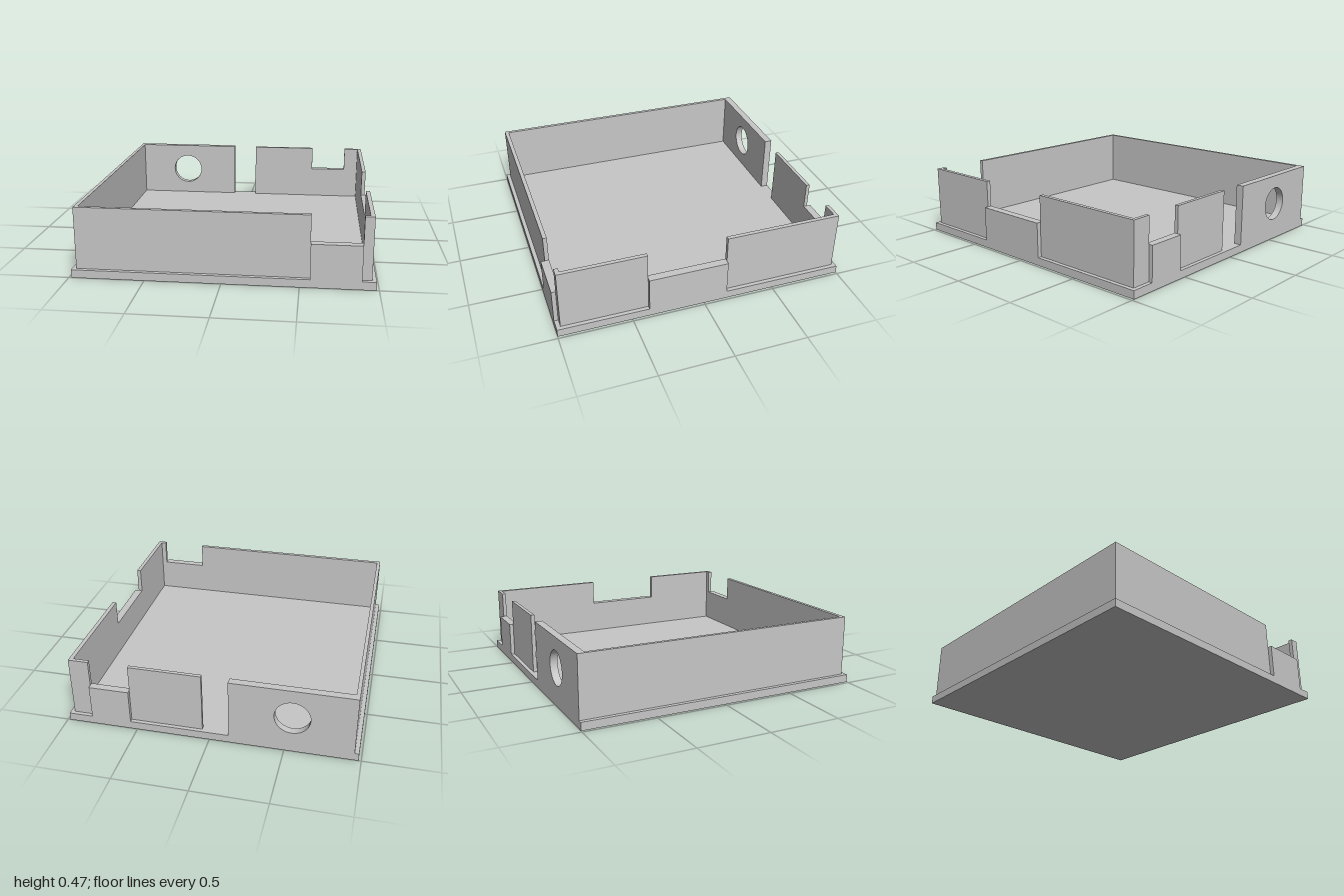
import * as THREE from 'three';

const FLOOR = 0.055, LOW = 0.292, TALL = 0.473;

export function createModel() {
  const model = new THREE.Group();
  model.name = 'openTray';
  const grey = new THREE.MeshStandardMaterial({ color: 0xc7c7c7 });
  grey.name = 'light grey';

  const add = (name, geometry) => {
    const mesh = new THREE.Mesh(geometry, grey);
    mesh.name = name;
    model.add(mesh);
    return mesh;
  };
  // Block between two corners
  const block = (name, x0, x1, y0, y1, z0, z1) =>
    add(name, new THREE.BoxGeometry(x1 - x0, y1 - y0, z1 - z0))
      .position.set((x0 + x1) / 2, (y0 + y1) / 2, (z0 + z1) / 2);

  block('basePlate', -0.983, 0.983, 0, FLOOR, -1, 1);

  // Walls standing on the base: name, x range, z range, top height
  const walls = [
    ['rightHandWall', -0.955, -0.93, -0.948, 0.972, TALL],
    ['frontWall', -0.93, 0.565, 0.944, 0.972, TALL],
    ['frontSill', 0.565, 0.892, 0.944, 1, LOW],
    ['frontCorner', 0.892, 0.927, 0.944, 0.972, TALL],
    ['sideWallFront', 0.927, 0.955, 0.383, 0.972, TALL],
    ['sideSill', 0.927, 0.983, -0.163, 0.383, LOW],
    ['sideWallBack', 0.927, 0.955, -0.973, -0.163, TALL],
    ['backCorner', 0.818, 0.927, -0.973, -0.948, TALL],
    ['backSill', 0.545, 0.818, -1, -0.948, LOW],
    ['backPanel', 0.053, 0.545, -0.973, -0.948, TALL],
  ];
  for (const [name, x0, x1, z0, z1, top] of walls) block(name, x0, x1, FLOOR, top, z0, z1);

  // Thick back wall with a round port
  const outline = new THREE.Shape();
  outline.moveTo(-0.955, FLOOR).lineTo(-0.13, FLOOR).lineTo(-0.13, TALL).lineTo(-0.955, TALL).closePath();
  outline.holes.push(new THREE.Path().absarc(-0.547, 0.265, 0.118, 0, Math.PI * 2, true));
  add('backWallWithPort', new THREE.ExtrudeGeometry(outline, { depth: 0.052, bevelEnabled: false, curveSegments: 32 }))
    .position.z = -1;

  return model;
}
